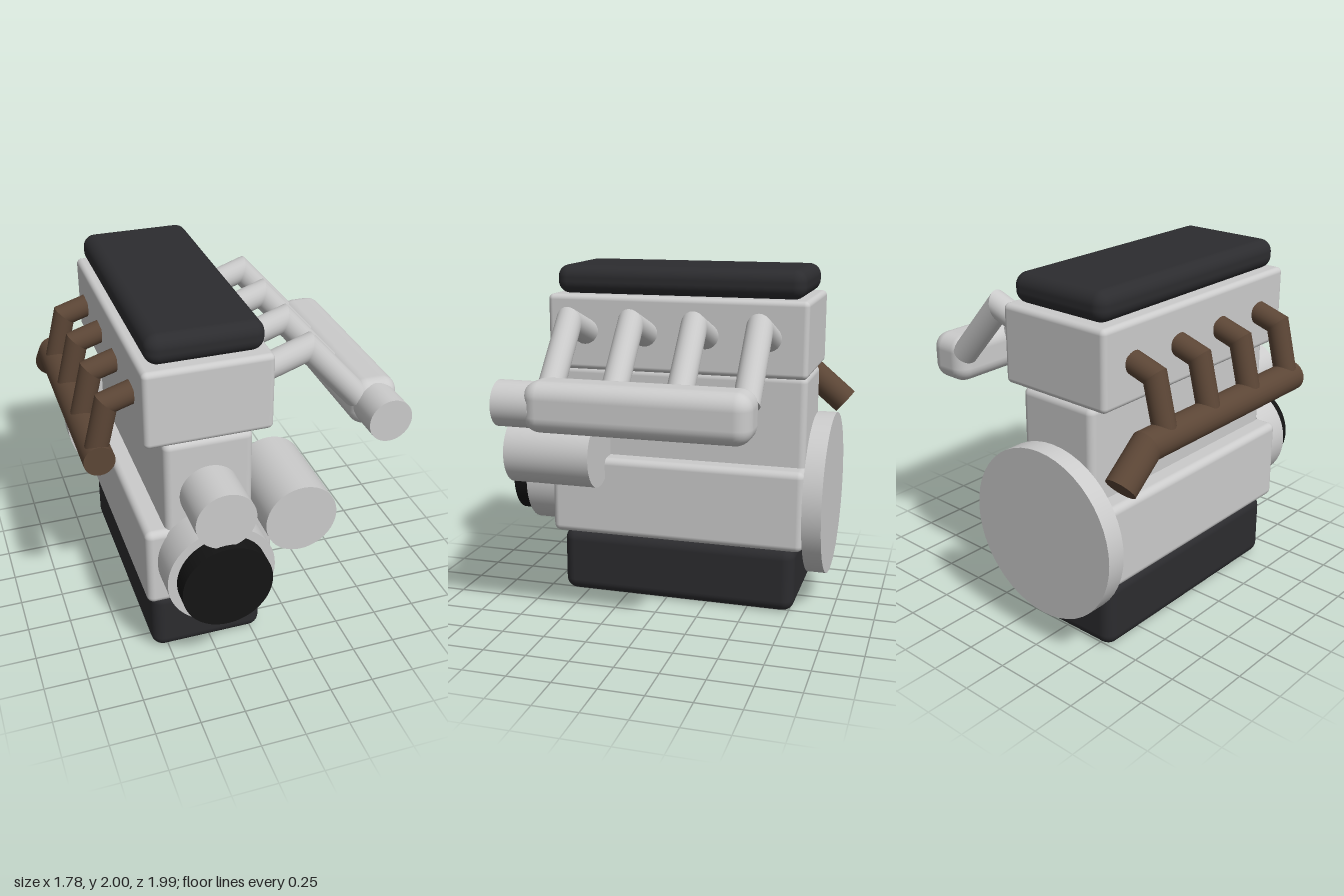
import * as THREE from 'three';
import { RoundedBoxGeometry } from 'three/addons/geometries/RoundedBoxGeometry.js';

const paint = (color) => new THREE.MeshStandardMaterial({ color });
const V = (x, y, z) => new THREE.Vector3(x, y, z);

export function createModel() {
  const engine = new THREE.Group();
  engine.name = 'engine';
  const metal = paint(0xcccccc);
  const dark = paint(0x2c2c2f);
  const black = paint(0x141414);
  const rust = paint(0x5c4636);

  const add = (name, geometry, material, parent = engine) => {
    const mesh = new THREE.Mesh(geometry, material);
    mesh.name = name;
    parent.add(mesh);
    return mesh;
  };

  // Rounded box given by its extents on each axis
  const box = (name, [x0, x1], [y0, y1], [z0, z1], radius, material) =>
    add(name, new RoundedBoxGeometry(x1 - x0, y1 - y0, z1 - z0, 4, radius), material)
      .position.set((x0 + x1) / 2, (y0 + y1) / 2, (z0 + z1) / 2);

  // Cylinder lying along z
  const drum = (name, x, y, radius, z0, z1, material) =>
    add(name, new THREE.CylinderGeometry(radius, radius, z1 - z0, 48).rotateX(Math.PI / 2), material)
      .position.set(x, y, (z0 + z1) / 2);

  // Pipe of straight lengths, with mitred joints
  const pipe = (name, points, radius, material) => {
    const group = new THREE.Group();
    group.name = name;
    engine.add(group);
    const dirs = points.slice(1).map((p, i) => p.clone().sub(points[i]).normalize());
    dirs.forEach((dir, i) => {
      const ends = [points[i], points[i + 1]];
      const planes = [
        dir.clone().add(dirs[i - 1] ?? dir).normalize(),
        dir.clone().add(dirs[i + 1] ?? dir).normalize(),
      ];
      const length = ends[0].distanceTo(ends[1]);
      const geometry = new THREE.CylinderGeometry(radius, radius, length, 24);
      geometry.applyQuaternion(new THREE.Quaternion().setFromUnitVectors(V(0, 1, 0), dir));
      const mid = ends[0].clone().lerp(ends[1], 0.5);
      geometry.translate(mid.x, mid.y, mid.z);
      // Slide each end vertex along the pipe onto its joint plane
      const pos = geometry.attributes.position;
      const v = V(0, 0, 0);
      for (let k = 0; k < pos.count; k++) {
        v.fromBufferAttribute(pos, k);
        const e = v.clone().sub(mid).dot(dir) > 0 ? 1 : 0;
        const slide = ends[e].clone().sub(v).dot(planes[e]) / dir.dot(planes[e]);
        v.addScaledVector(dir, slide);
        pos.setXYZ(k, v.x, v.y, v.z);
      }
      add(`${name}Length`, geometry, material, group);
    });
  };

  // Engine body, from the bottom up
  box('sump', [-0.59, 0.06], [0, 0.395], [-0.78, 0.65], 0.07, dark);
  box('crankcase', [-0.625, 0.095], [0.39, 0.87], [-0.83, 0.7], 0.04, metal);
  box('cylinderBlock', [-0.51, -0.02], [0.8, 1.4], [-0.815, 0.685], 0.04, metal);
  box('cylinderHead', [-0.61, 0.085], [1.4, 1.835], [-0.83, 0.7], 0.03, metal);
  box('valveCover', [-0.575, 0.05], [1.835, 2], [-0.8, 0.665], 0.07, dark);

  // Rotating parts and accessories
  const axis = -0.265;
  drum('flywheel', axis, 0.67, 0.48, -0.95, -0.84, metal);
  drum('timingCover', axis, 0.67, 0.3, 0.69, 0.895, metal);
  drum('crankPulley', axis, 0.67, 0.25, 0.89, 1, black);
  drum('waterPump', axis, 1.07, 0.165, 0.67, 0.965, metal);
  drum('alternator', 0.185, 0.925, 0.2, 0.36, 0.88, metal);

  // Intake plenum and throttle body
  box('intakePlenum', [0.62, 0.89], [1.19, 1.465], [-0.68, 0.545], 0.09, metal);
  drum('throttleBody', 0.755, 1.325, 0.125, 0.5, 0.71, metal);

  // Exhaust log, turning down at the rear
  pipe('exhaustLog', [V(-0.81, 1.275, 0.53), V(-0.81, 1.275, -0.75), V(-0.81, 1.115, -0.94)], 0.085, rust);

  // One intake runner and one exhaust runner for each cylinder
  for (let i = 0; i < 4; i++) {
    const z = -0.61 + i * 0.358;
    pipe('intakeRunner', [V(0.09, 1.625, z), V(0.352, 1.715, z), V(0.66, 1.37, z)], 0.073, metal);
    pipe('exhaustRunner', [V(-0.6, 1.625, z), V(-0.745, 1.58, z), V(-0.81, 1.32, z)], 0.063, rust);
  }
  return engine;
}
